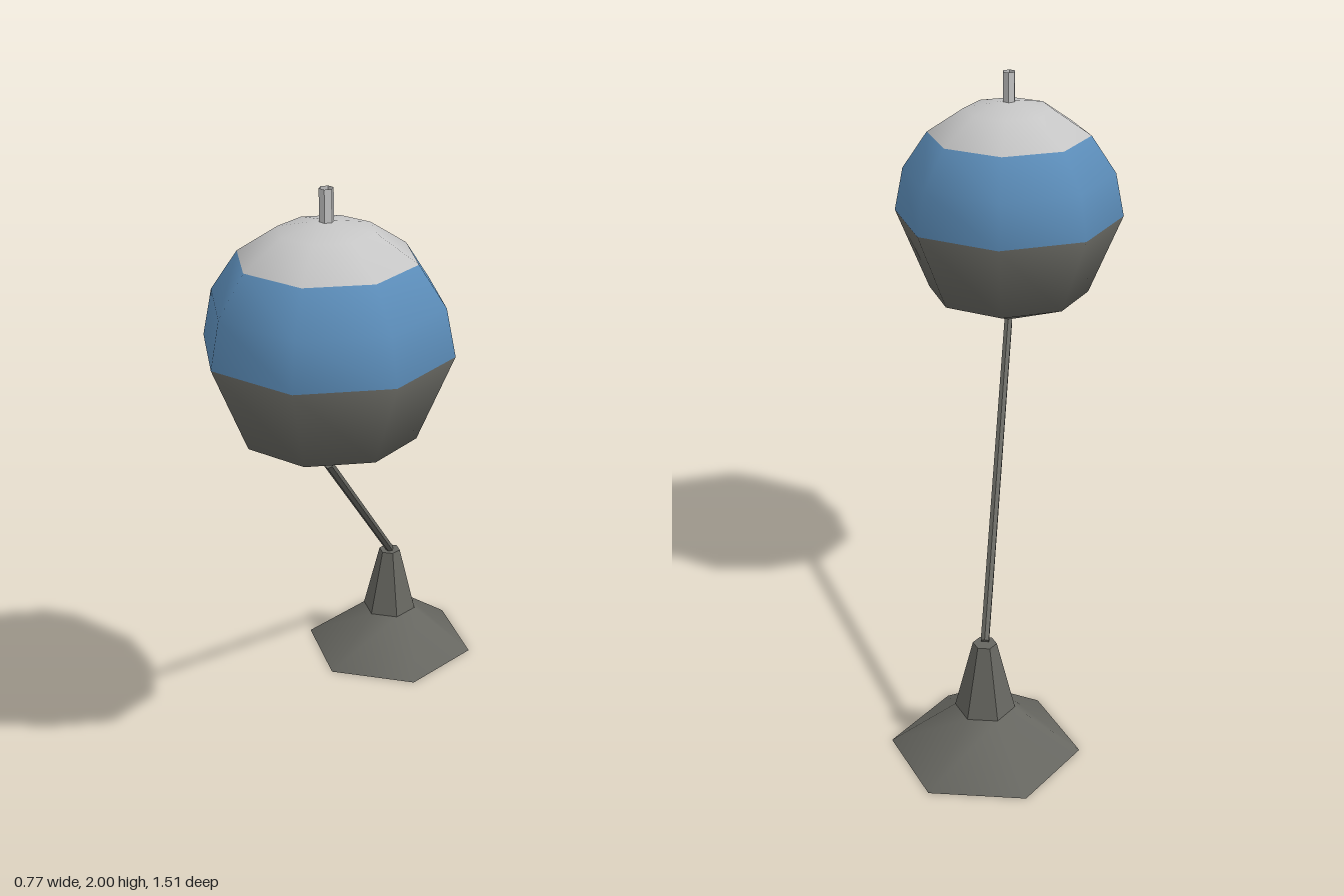
import * as THREE from 'three';

export function createModel() {
  const model = new THREE.Group();
  const material = (name, color, side = THREE.FrontSide) => {
    const m = new THREE.MeshStandardMaterial({ color, side });
    m.name = name;
    return m;
  };
  const charcoal = material('charcoal', 0x666660, THREE.DoubleSide);
  const blue = material('blue', 0x5b8cb8, THREE.DoubleSide);
  const paleGrey = material('paleGrey', 0xc6c6c6, THREE.DoubleSide);

  const add = (name, geometry, mat, x, y, z) => {
    const mesh = new THREE.Mesh(geometry, mat);
    mesh.name = name;
    mesh.position.set(x, y, z);
    model.add(mesh);
    return mesh;
  };
  // Six-sided tube with hard edges
  const hexTube = (top, bottom, height, open = true) => {
    const g = new THREE.CylinderGeometry(top, bottom, height, 6, 1, open).toNonIndexed();
    g.computeVertexNormals();
    return g;
  };

  // Globe in three colour bands, sharing one coarse sphere
  const r = 0.383, globeY = 1.523, globeZ = 0.373;
  const band = (name, mat, start, rows) => add(name,
    new THREE.SphereGeometry(r, 8, rows, 0, Math.PI * 2, start * Math.PI / 4, rows * Math.PI / 4),
    mat, 0, globeY, globeZ);
  band('globeCap', paleGrey, 0, 1);
  band('globeBand', blue, 1, 1);
  band('globeBottom', charcoal, 2, 2);

  // Open pin on top of the globe
  add('topPin', hexTube(0.022, 0.022, 0.104), paleGrey, 0, 1.948, globeZ);

  // Hollow hexagonal foot, with corners to the left and right
  const baseZ = -0.493;
  add('foot', new THREE.CylinderGeometry(0.096, 0.305, 0.155, 6, 1, true),
    charcoal, 0, 0.0775, baseZ).rotation.y = Math.PI / 6;

  // Tapered post, open below and capped on top
  add('post', hexTube(0.038, 0.096, 0.235), charcoal, 0, 0.2725, baseZ).rotation.y = Math.PI / 6;
  const cap = add('postCap', new THREE.CircleGeometry(0.038, 6), charcoal, 0, 0.39, baseZ);
  cap.rotation.x = -Math.PI / 2;

  // Slanted arm from the post to the globe
  const from = new THREE.Vector3(0, 0.395, baseZ + 0.003);
  const to = new THREE.Vector3(0, 1.137, globeZ);
  const dir = to.clone().sub(from);
  const mid = from.clone().add(to).multiplyScalar(0.5);
  const arm = add('arm', hexTube(0.0148, 0.0148, dir.length(), false), charcoal, mid.x, mid.y, mid.z);
  arm.quaternion.setFromUnitVectors(new THREE.Vector3(0, 1, 0), dir.normalize());

  return model;
}
